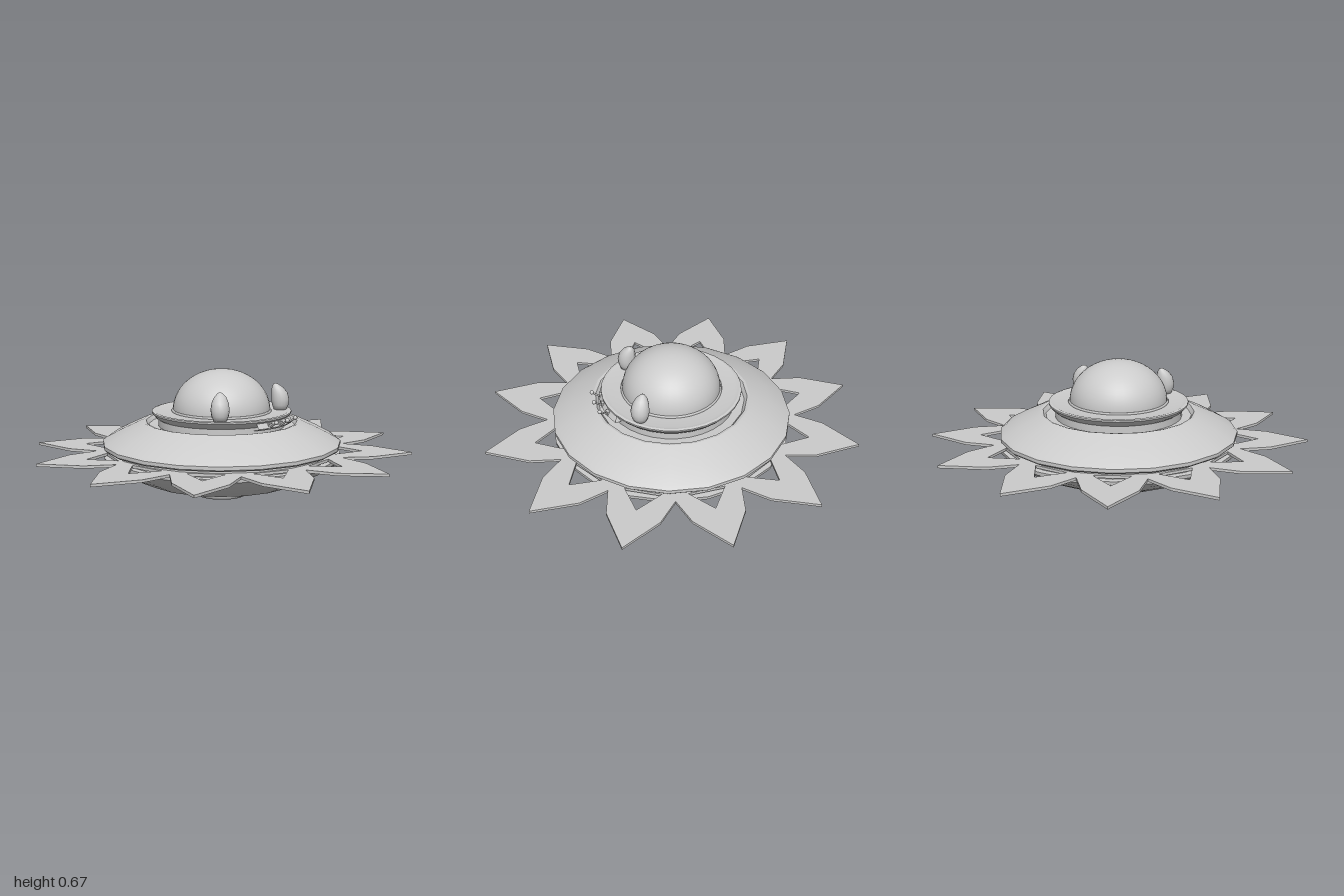
import * as THREE from 'three';
import { toCreasedNormals } from 'three/addons/utils/BufferGeometryUtils.js';

const grey = new THREE.MeshStandardMaterial({ color: 0xcccccc, side: THREE.DoubleSide });

function add(parent, name, geometry) {
  const mesh = new THREE.Mesh(geometry, grey);
  mesh.name = name;
  parent.add(mesh);
  return mesh;
}

// Turned part from [radius, height] pairs, listed bottom to top along the outside
function turned(pairs, segments, crease = 0.5, start = 0, sweep = Math.PI * 2) {
  const points = pairs.map(([r, y]) => new THREE.Vector2(r, y));
  return toCreasedNormals(new THREE.LatheGeometry(points, segments, start, sweep), crease);
}

const polar = (r, degrees) => {
  const a = THREE.MathUtils.degToRad(degrees);
  return new THREE.Vector2(r * Math.cos(a), r * Math.sin(a));
};

// Flat crown of pointed petals, each with a triangular window
function petalCrown() {
  const outline = [];
  const shape = new THREE.Shape();
  for (let i = 0; i < 12; i++) {
    const a = i * 30;
    outline.push(polar(1, a), polar(0.806, a + 9.6), polar(0.66, a + 15), polar(0.806, a + 20.4));
    shape.holes.push(new THREE.Path([polar(0.74, a), polar(0.61, a - 9), polar(0.61, a + 9)]));
  }
  shape.setFromPoints(outline);
  shape.holes.push(new THREE.Path(new THREE.Path().absarc(0, 0, 0.54, 0, Math.PI * 2).getPoints(20)));
  const geometry = new THREE.ExtrudeGeometry(shape, { depth: 0.014, bevelEnabled: false });
  return geometry.rotateX(-Math.PI / 2).translate(0, 0.244, 0);
}

// Seed-shaped pod whose tip leans toward +z
function podGeometry() {
  const profile = [[0, 0], [0.034, 0], [0.044, 0.025], [0.048, 0.055], [0.043, 0.09], [0.03, 0.118], [0.012, 0.136], [0, 0.14]];
  const geometry = new THREE.LatheGeometry(profile.map(p => new THREE.Vector2(...p)), 16);
  const pos = geometry.attributes.position;
  for (let i = 0; i < pos.count; i++) {
    const t = Math.max(0, pos.getY(i) - 0.05) / 0.09;
    pos.setZ(i, pos.getZ(i) + 0.028 * t * t);
  }
  geometry.computeVertexNormals();
  return geometry;
}

export function createModel() {
  const model = new THREE.Group();
  model.name = 'flyingSaucer';

  // Upper hull with a sunken groove around the collar
  add(model, 'upperHull', turned([
    [0.5, 0.272], [0.622, 0.272], [0.63, 0.28], [0.63, 0.298], [0.61, 0.312], [0.53, 0.355],
    [0.43, 0.402], [0.415, 0.408], [0.4, 0.405], [0.385, 0.385], [0.3, 0.38],
  ], 20));

  // Lower hull, hollowed underneath with a raised ring round the nozzle
  add(model, 'lowerHull', turned([
    [0.1, 0.115], [0.17, 0.11], [0.185, 0.09], [0.2, 0.083], [0.235, 0.085], [0.25, 0.1],
    [0.28, 0.118], [0.36, 0.118], [0.39, 0.108], [0.395, 0.094], [0.412, 0.094], [0.52, 0.145],
    [0.6, 0.192], [0.628, 0.218], [0.63, 0.236], [0.5, 0.238],
  ], 20));

  add(model, 'hullCore', new THREE.CylinderGeometry(0.595, 0.595, 0.05, 20)).position.y = 0.256;
  add(model, 'petalCrown', petalCrown());

  // Deck that carries the dome
  add(model, 'deckCollar', turned([
    [0.335, 0.375], [0.335, 0.42], [0.35, 0.43], [0.368, 0.452], [0.368, 0.46],
    [0.355, 0.463], [0.335, 0.457], [0.2, 0.457],
  ], 32));
  add(model, 'domeSeal', new THREE.TorusGeometry(0.257, 0.008, 6, 48).rotateX(Math.PI / 2)).position.y = 0.46;

  // Dome
  const dome = new THREE.SphereGeometry(0.257, 40, 14, 0, Math.PI * 2, 0, Math.PI / 2).scale(1, 0.215 / 0.257, 1);
  add(model, 'dome', dome).position.y = 0.463;

  // Nozzle with a hollow mouth
  add(model, 'nozzle', turned([
    [0, 0.06], [0.085, 0.055], [0.095, 0.02], [0.11, 0.005], [0.132, 0.004], [0.145, 0.013],
    [0.148, 0.027], [0.136, 0.042], [0.133, 0.055], [0.147, 0.068], [0.15, 0.077], [0.14, 0.09], [0.13, 0.12],
  ], 32, 0.9));

  // Two pods leaning in toward the dome
  for (const [name, x, z] of [['rightPod', -0.245, 0.175], ['leftPod', 0.215, 0.228]]) {
    const pod = add(model, name, podGeometry());
    pod.position.set(x, 0.458, z);
    pod.rotation.y = Math.atan2(-x, -z);
  }

  // Curved control panel with three levers on the front of the collar
  const panel = new THREE.Group();
  panel.name = 'controlPanel';
  model.add(panel);
  add(panel, 'panelStrip', turned([
    [0.33, 0.405], [0.372, 0.41], [0.378, 0.418], [0.362, 0.444], [0.33, 0.444],
  ], 10, 0.5, -0.42, 0.84));
  for (const angle of [-0.21, 0, 0.21]) {
    const lever = new THREE.Group();
    lever.name = 'lever';
    lever.rotation.y = angle;
    add(lever, 'leverBase', new THREE.BoxGeometry(0.024, 0.026, 0.02)).position.set(0, 0.427, 0.368);
    const rod = add(lever, 'leverRod', new THREE.CylinderGeometry(0.005, 0.005, 0.07, 8));
    rod.position.set(0, 0.432, 0.39);
    rod.rotation.x = 1;
    add(lever, 'leverKnob', new THREE.SphereGeometry(0.011, 12, 8)).position.set(0, 0.45, 0.416);
    panel.add(lever);
  }
  return model;
}
